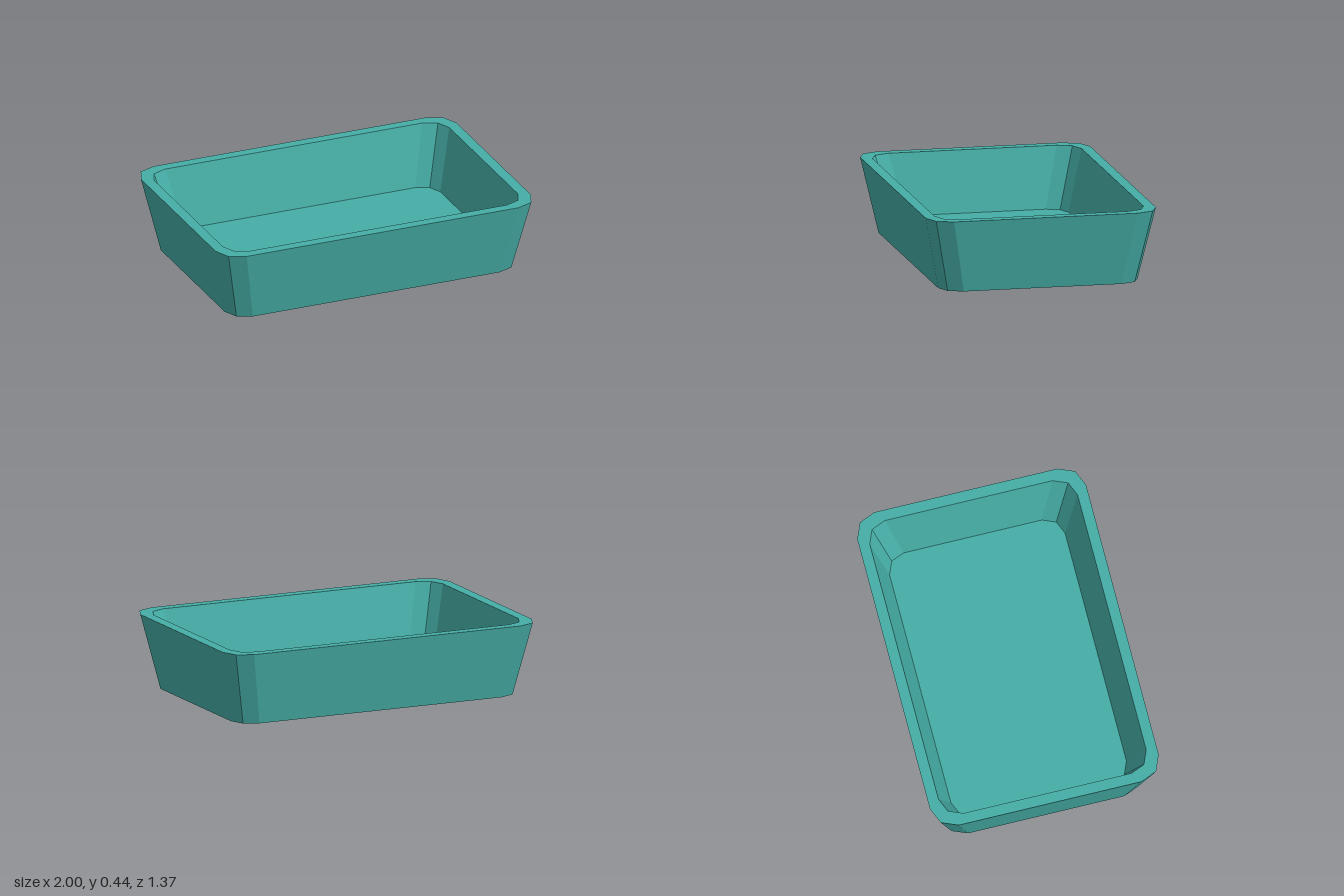
import * as THREE from 'three';

const teal = new THREE.MeshStandardMaterial({ color: 0x46aea7 });
teal.name = 'teal';

// Rounded rectangle at height y, each corner cut into two facets
function ring(y, hx, hz, r) {
  const points = [];
  for (let corner = 0; corner < 4; corner++) {
    const sx = corner === 0 || corner === 3 ? 1 : -1;
    const sz = corner < 2 ? 1 : -1;
    for (let k = 0; k <= 2; k++) {
      const a = (corner * 2 + k) * Math.PI / 4;
      points.push(new THREE.Vector3(
        sx * (hx - r) + r * Math.cos(a), y, sz * (hz - r) + r * Math.sin(a)));
    }
  }
  return points;
}

// Unshared vertices give every facet its own flat normal
function facetMesh(name, points) {
  const geometry = new THREE.BufferGeometry().setFromPoints(points);
  geometry.computeVertexNormals();
  const mesh = new THREE.Mesh(geometry, teal);
  mesh.name = name;
  return mesh;
}

// Band of quads between two rings
function band(name, p, q) {
  const points = [];
  p.forEach((a, i) => {
    const j = (i + 1) % p.length;
    points.push(a, q[i], q[j], a, q[j], p[j]);
  });
  return facetMesh(name, points);
}

// Flat face filling a ring
function cap(name, p, up) {
  const centre = new THREE.Vector3(0, p[0].y, 0);
  const points = [];
  p.forEach((a, i) => {
    const b = p[(i + 1) % p.length];
    points.push(centre, up ? b : a, up ? a : b);
  });
  return facetMesh(name, points);
}

export function createModel() {
  const outerBase = ring(0, 0.908, 0.595, 0.125);
  const outerRim = ring(0.437, 1, 0.687, 0.138);
  const innerRim = ring(0.437, 0.935, 0.624, 0.12);
  const innerFloor = ring(0.08, 0.84, 0.527, 0.112);

  const tray = new THREE.Group();
  tray.name = 'tray';
  tray.add(
    cap('underside', outerBase, false),
    band('outerWall', outerBase, outerRim),
    band('rim', outerRim, innerRim),
    band('innerWall', innerRim, innerFloor),
    cap('floor', innerFloor, true));
  return tray;
}
